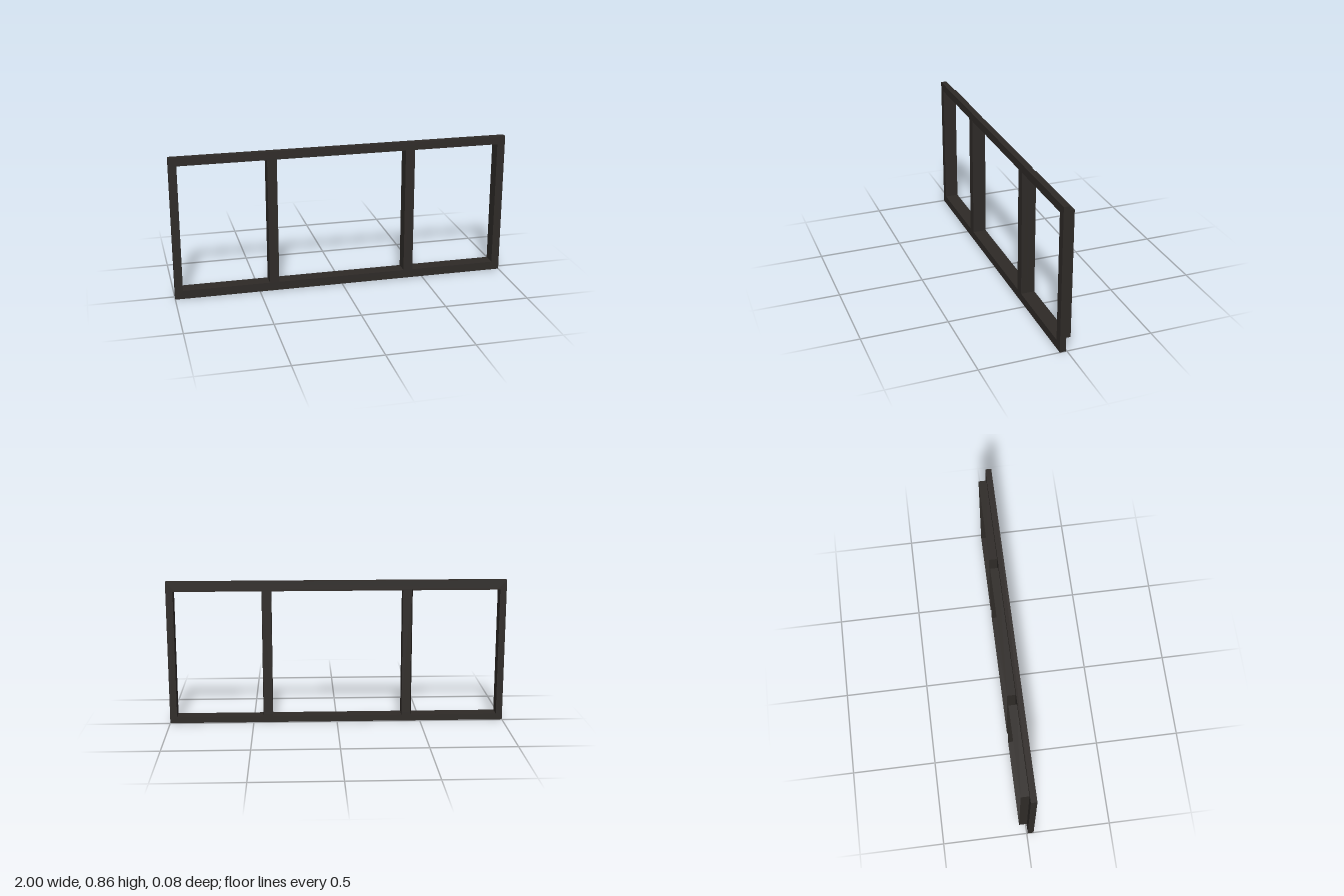
import * as THREE from 'three';

const HEIGHT = 0.857;
const BOTTOM = 0.051, TOP = 0.808;                 // opening edges in y
const FRONT = 0.041, MID = 0.006, BACK = -0.041;   // depth planes
const BAYS = [
  { name: 'rightBay', x0: -0.953, x1: -0.44 },
  { name: 'middleBay', x0: -0.384, x1: 0.384 },
  { name: 'leftBay', x0: 0.44, x1: 0.953 },
];

function rectangle(target, x0, y0, x1, y1) {
  target.moveTo(x0, y0);
  target.lineTo(x1, y0);
  target.lineTo(x1, y1);
  target.lineTo(x0, y1);
  target.closePath();
  return target;
}

export function createModel() {
  const group = new THREE.Group();
  group.name = 'threeBayWindowFrame';
  const material = new THREE.MeshStandardMaterial({ color: 0x2e2a27 });
  const thin = new THREE.MeshStandardMaterial({ color: 0x2e2a27, side: THREE.DoubleSide });

  // Front frame with its two mullions, cut through by three openings
  const outline = rectangle(new THREE.Shape(), -1, 0, 1, HEIGHT);
  for (const { x0, x1 } of BAYS) {
    outline.holes.push(rectangle(new THREE.Path(), x0, BOTTOM, x1, TOP));
  }
  const frameGeometry = new THREE.ExtrudeGeometry(outline, { depth: FRONT - MID, bevelEnabled: false });
  frameGeometry.translate(0, 0, MID);
  const frame = new THREE.Mesh(frameGeometry, material);
  frame.name = 'frontFrame';
  group.add(frame);

  // Thin sleeve running back from the edges of each opening
  const depth = MID - BACK, z = (MID + BACK) / 2;
  const midY = (BOTTOM + TOP) / 2;
  for (const { name, x0, x1 } of BAYS) {
    const sleeve = new THREE.Group();
    sleeve.name = name + 'Sleeve';
    const midX = (x0 + x1) / 2;
    for (const [side, y, turn] of [['sill', BOTTOM, -1], ['head', TOP, 1]]) {
      const panel = new THREE.Mesh(new THREE.PlaneGeometry(x1 - x0, depth), thin);
      panel.name = side;
      panel.rotation.x = turn * Math.PI / 2;
      panel.position.set(midX, y, z);
      sleeve.add(panel);
    }
    for (const [side, x, turn] of [['rightJamb', x0, 1], ['leftJamb', x1, -1]]) {
      const panel = new THREE.Mesh(new THREE.PlaneGeometry(depth, TOP - BOTTOM), thin);
      panel.name = side;
      panel.rotation.y = turn * Math.PI / 2;
      panel.position.set(x, midY, z);
      sleeve.add(panel);
    }
    group.add(sleeve);
  }
  return group;
}
